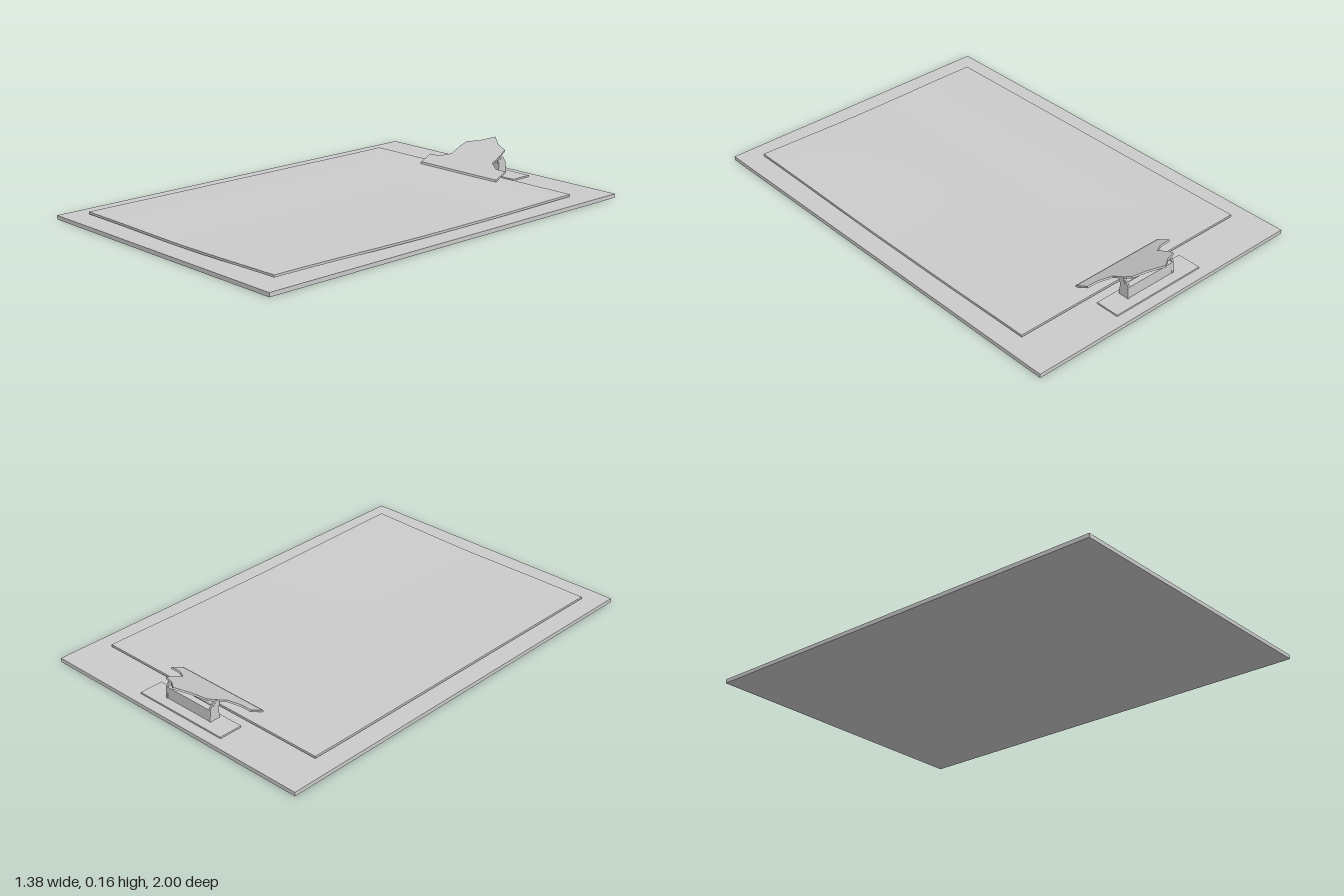
import * as THREE from 'three';

const material = new THREE.MeshStandardMaterial({ color: 0xcccccc });
const flat = new THREE.MeshStandardMaterial({ color: 0xcccccc, flatShading: true });

function add(parent, name, geometry, x = 0, y = 0, z = 0, mat = flat) {
  const mesh = new THREE.Mesh(geometry, mat);
  mesh.name = name;
  mesh.position.set(x, y, z);
  parent.add(mesh);
  return mesh;
}

// Gently waved sheet stack with one front corner lifting
function paperGeometry() {
  const geometry = new THREE.BoxGeometry(1.2, 0.01, 1.7, 24, 1, 34);
  const p = geometry.attributes.position;
  const smooth = THREE.MathUtils.smoothstep;
  for (let i = 0; i < p.count; i++) {
    const x = p.getX(i), z = p.getZ(i) + 0.05;
    const corner = 0.012 * smooth(x, 0, 0.75) * smooth(z, 0, 0.9);
    const backEdge = 0.004 * smooth(-z, 0.3, 0.8);
    const leftEdge = 0.003 * smooth(-x, 0, 0.45);
    p.setY(i, p.getY(i) + corner + Math.max(backEdge, leftEdge));
  }
  geometry.computeVertexNormals();
  return geometry;
}

// Clip outline: half-width and distance along the sloping plate, mirrored
function clipGeometry() {
  const half = [[0.235, 0], [0.235, 0.068], [0.18, 0.07], [0.128, 0.103], [0.128, 0.165],
    [0.118, 0.208], [0.06, 0.233]];
  const mirrored = half.map(([x, y]) => [-x, y]).reverse();
  const points = [...half, [0, 0.281], ...mirrored].map(([x, y]) => new THREE.Vector2(x, y));
  const geometry = new THREE.ExtrudeGeometry(new THREE.Shape(points), { depth: 0.008, bevelEnabled: false });
  return geometry.translate(0, 0, -0.008);
}

// Side ear of the hinge bracket, drawn as (-z, y) and extruded along x
function earGeometry() {
  const points = [[0.855, 0.022], [0.907, 0.022], [0.903, 0.08], [0.888, 0.103], [0.872, 0.111],
    [0.85, 0.092], [0.86, 0.075]].map(([x, y]) => new THREE.Vector2(x, y));
  const geometry = new THREE.ExtrudeGeometry(new THREE.Shape(points), { depth: 0.008, bevelEnabled: false });
  return geometry.translate(0, 0, -0.004).rotateY(Math.PI / 2);
}

export function createModel() {
  const model = new THREE.Group();
  model.name = 'clipboard';

  add(model, 'board', new THREE.BoxGeometry(1.38, 0.018, 2), 0, 0.009, 0);
  add(model, 'paper', paperGeometry(), 0, 0.025, 0.05, material);

  const clip = new THREE.Group();
  clip.name = 'clip';
  model.add(clip);

  // Mounting plate and hinge bracket
  add(clip, 'basePlate', new THREE.BoxGeometry(0.47, 0.008, 0.11), 0, 0.021, -0.895);
  add(clip, 'hingeHousing', new THREE.BoxGeometry(0.25, 0.056, 0.044), 0, 0.05, -0.882);
  const ear = earGeometry();
  for (const side of [-1, 1]) add(clip, 'hingeEar', ear, side * 0.126, 0, 0);
  const pin = new THREE.CylinderGeometry(0.01, 0.01, 0.262, 12).rotateZ(Math.PI / 2);
  add(clip, 'hingePin', pin, 0, 0.09, -0.875, material);

  // Sloping lever and its pressing lip
  const lever = add(clip, 'lever', clipGeometry(), 0, 0.041, -0.722);
  lever.rotation.x = -THREE.MathUtils.degToRad(64.3);
  const lip = add(clip, 'lip', new THREE.BoxGeometry(0.47, 0.018, 0.006), 0, 0.033, -0.721);
  lip.rotation.x = -0.35;

  return model;
}
